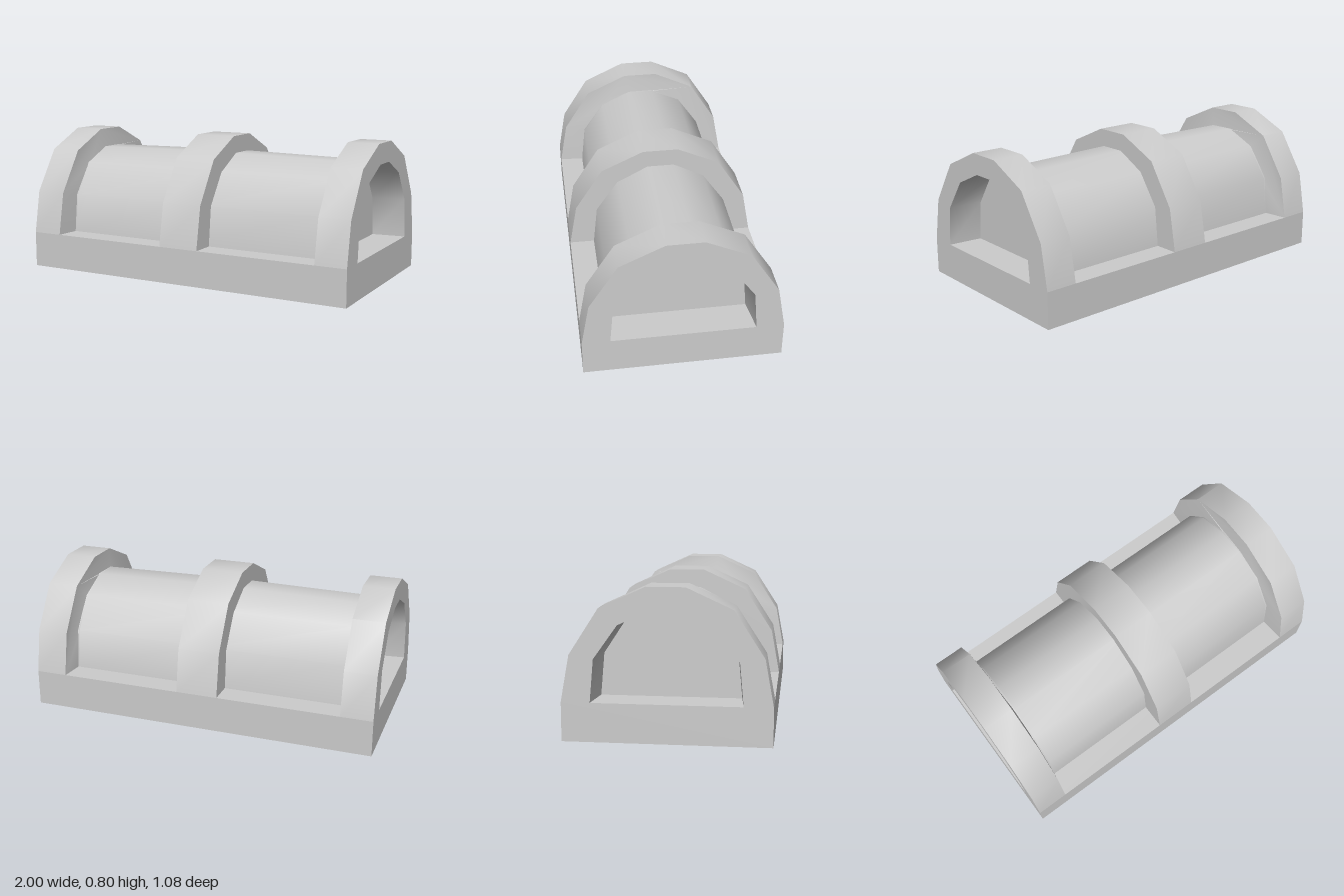
import * as THREE from 'three';
import { toCreasedNormals } from 'three/addons/utils/BufferGeometryUtils.js';

const FLOOR = 0.205; // top of the base

// Half profiles as [z, y], from foot to crown
const OUTER = [[0.54, FLOOR], [0.495, 0.45], [0.34, 0.69], [0.1, 0.8]];
const BARREL = [[0.4, FLOOR], [0.375, 0.43], [0.25, 0.61], [0.075, 0.69]];
const OPENING = [[0.39, FLOOR], [0.37, 0.43], [0.245, 0.605], [0.07, 0.685]];
const CAVITY = [[0.33, FLOOR], [0.32, 0.27], [0.21, 0.44], [0.065, 0.53]];

const arch = (half) => [
  ...half.map(([z, y]) => new THREE.Vector2(z, y)),
  ...half.slice().reverse().map(([z, y]) => new THREE.Vector2(-z, y)),
];

// Arch ring (or a filled arch when there is no inner profile) running along x
function archGeometry(outer, inner, x0, x1, steps = 1) {
  const points = arch(outer);
  if (inner) points.push(...arch(inner).reverse());
  const geometry = new THREE.ExtrudeGeometry(new THREE.Shape(points), {
    depth: x1 - x0, steps, bevelEnabled: false,
  });
  return geometry.rotateY(Math.PI / 2).translate(x0, 0, 0);
}

// Move every vertex by a rule
function reshape(geometry, rule) {
  const p = geometry.attributes.position;
  const v = new THREE.Vector3();
  for (let i = 0; i < p.count; i++) {
    rule(v.fromBufferAttribute(p, i));
    p.setXYZ(i, v.x, v.y, v.z);
  }
  return geometry;
}

export function createModel() {
  const group = new THREE.Group();
  const material = new THREE.MeshStandardMaterial({ color: 0xcccccc });
  const add = (name, geometry) => {
    const mesh = new THREE.Mesh(toCreasedNormals(geometry, 0.7), material);
    mesh.name = name;
    group.add(mesh);
    return mesh;
  };

  // Base frame with a hollow that narrows upward
  const rect = (x, z) => [[-x, -z], [x, -z], [x, z], [-x, z]].map(([a, b]) => new THREE.Vector2(a, b));
  const frame = new THREE.Shape(rect(1, 0.54));
  frame.holes.push(new THREE.Path(rect(0.8, 0.37)));
  const base = new THREE.ExtrudeGeometry(frame, { depth: FLOOR, bevelEnabled: false });
  base.rotateX(-Math.PI / 2);
  add('base', reshape(base, (v) => {
    if (v.y > 0.1 && Math.abs(v.z) < 0.4) v.z = Math.sign(v.z) * 0.33;
  }));

  // Hollow barrel body, slightly higher in the middle
  add('barrel', reshape(archGeometry(BARREL, CAVITY, -0.8, 0.8, 2), (v) => {
    if (v.y > 0.65) v.y += 0.012 * (1 - Math.abs(v.x) / 0.8);
  }));

  // Middle rib
  add('middleRib', archGeometry(OUTER, OPENING, -0.12, 0.12));

  // End ribs with a tapering recess, each closed by a panel
  for (const [side, s] of [['left', 1], ['right', -1]]) {
    const [a, b] = s > 0 ? [0.82, 1] : [-1, -0.82];
    const rib = archGeometry(OUTER, OPENING, a, b);
    add(side + 'EndRib', reshape(rib, (v) => {
      const onOpening = OPENING.some(([z, y]) => Math.hypot(Math.abs(v.z) - z, v.y - y) < 1e-3);
      if (onOpening && Math.abs(v.x) < 0.9) {
        v.x = s * 0.805;
        if (v.y < 0.65) v.z -= Math.sign(v.z) * (v.y < 0.5 ? 0.02 : 0.01);
      }
    }));
    add(side + 'EndPanel', archGeometry(BARREL, null, s > 0 ? 0.8 : -0.81, s > 0 ? 0.81 : -0.8));
  }
  return group;
}
